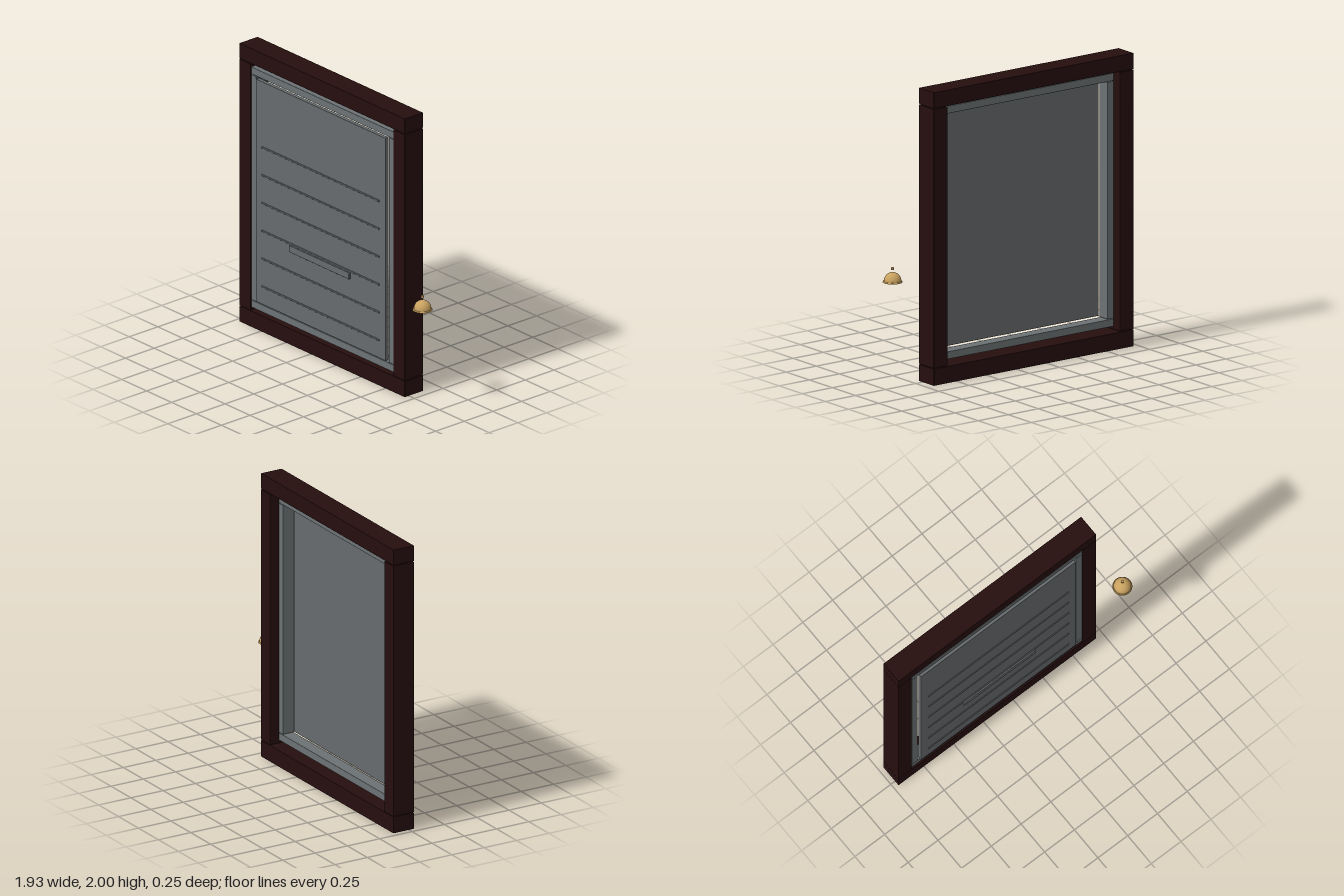
import * as THREE from 'three';
import { RoundedBoxGeometry } from 'three/addons/geometries/RoundedBoxGeometry.js';

function material(name, color, side = THREE.FrontSide) {
  const m = new THREE.MeshStandardMaterial({ color, side });
  m.name = name;
  return m;
}

export function createModel() {
  const model = new THREE.Group();
  model.name = 'framedPanelWithBell';

  const wood = material('dark wood', 0x260e0e);
  const steel = material('panel grey', 0x676b6d);
  const trim = material('trim grey', 0x6c7274);
  const brass = material('brass', 0xc9a260);

  // Box given by its lower and upper limits on each axis
  const box = (name, mat, [x0, x1], [y0, y1], [z0, z1], bevel = 0.003) => {
    const mesh = new THREE.Mesh(new RoundedBoxGeometry(x1 - x0, y1 - y0, z1 - z0, 1, bevel), mat);
    mesh.position.set((x0 + x1) / 2, (y0 + y1) / 2, (z0 + z1) / 2);
    mesh.name = name;
    model.add(mesh);
  };

  // Outer wooden frame
  const woodZ = [-0.123, 0.037];
  box('topBeam', wood, [-0.965, 0.695], [1.89, 2], woodZ);
  box('bottomBeam', wood, [-0.965, 0.695], [0, 0.115], woodZ);
  box('rightPost', wood, [-0.965, -0.853], [0.118, 1.886], woodZ);
  box('leftPost', wood, [0.581, 0.695], [0.118, 1.886], woodZ);

  // Inner metal rails
  const railZ = [-0.055, 0.033];
  box('topRail', trim, [-0.851, 0.58], [1.815, 1.866], railZ);
  box('bottomRail', trim, [-0.851, 0.58], [0.14, 0.192], railZ);
  box('rightRail', trim, [-0.851, -0.8], [0.195, 1.812], railZ);
  box('leftRail', trim, [0.529, 0.58], [0.195, 1.812], railZ);

  // Door panel, ridges and pull handle
  box('panel', steel, [-0.785, 0.515], [0.206, 1.805], [0.02, 0.049]);
  for (let i = 0; i < 6; i++) {
    const y = 0.335 + i * 0.2;
    box('ridge', steel, [-0.725, 0.455], [y - 0.006, y + 0.006], [0.045, 0.055], 0.002);
  }
  box('handle', steel, [-0.436, 0.165], [0.68, 0.728], [0.045, 0.064]);

  // Call bell: flat flange, dome and button
  const bell = new THREE.Group();
  bell.name = 'bell';
  bell.position.set(0.898, 0.704, 0.058);
  const flange = new THREE.Mesh(new THREE.CylinderGeometry(0.062, 0.066, 0.008, 32), brass);
  flange.position.y = 0.004;
  flange.name = 'bellFlange';
  const dome = new THREE.Mesh(
    new THREE.SphereGeometry(0.058, 32, 12, 0, Math.PI * 2, 0, Math.PI / 2), brass);
  dome.position.y = 0.008;
  dome.name = 'bellDome';
  const button = new THREE.Mesh(new THREE.CylinderGeometry(0.009, 0.009, 0.016, 16), brass);
  button.position.y = 0.091;
  button.name = 'bellButton';
  bell.add(flange, dome, button);
  model.add(bell);

  return model;
}
